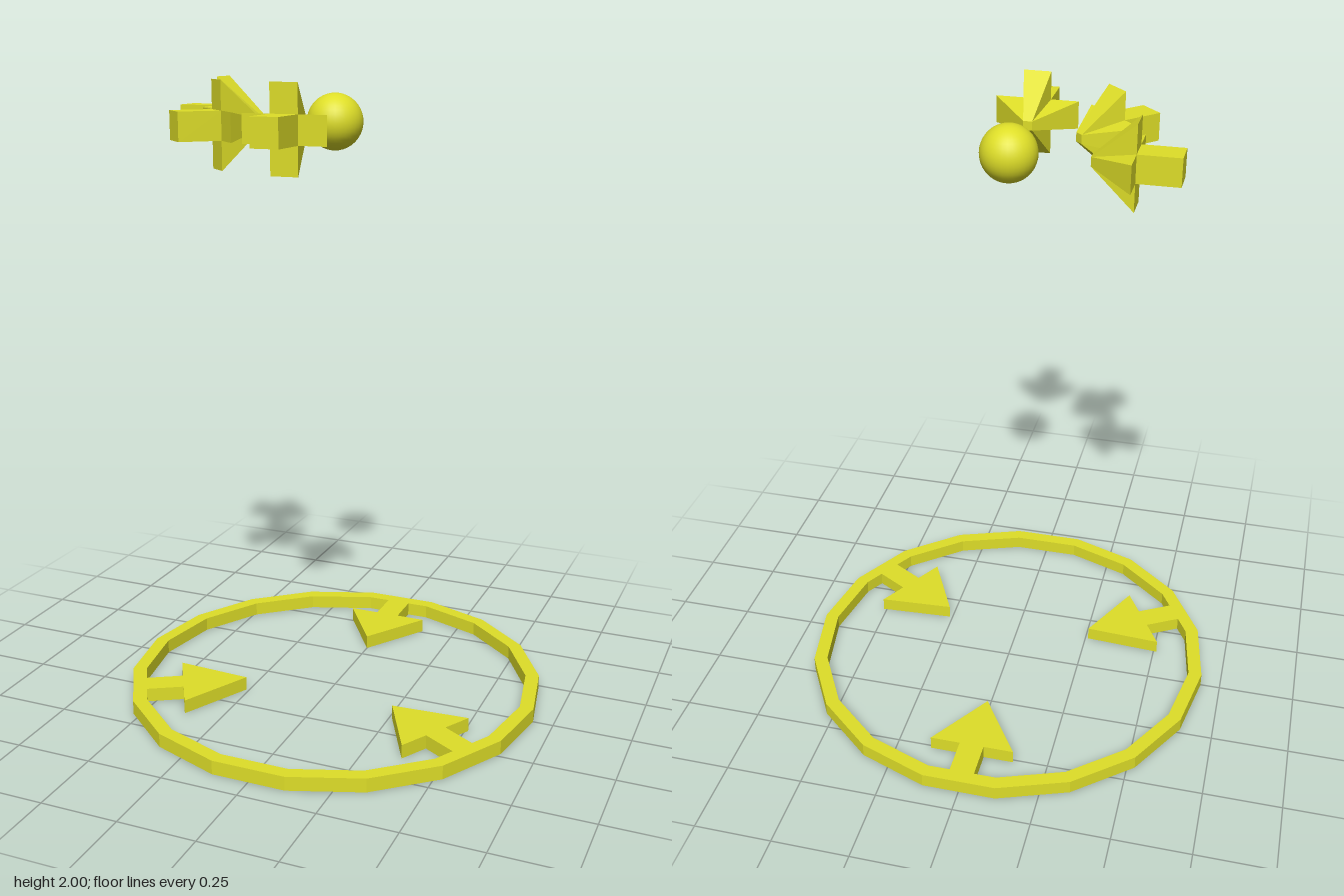
import * as THREE from 'three';

const material = new THREE.MeshStandardMaterial({ color: 0xdede28 });

function part(name, geometry) {
  const mesh = new THREE.Mesh(geometry, material);
  mesh.name = name;
  return mesh;
}

// Extrudes a plan outline upwards from the ground (shape y becomes -z)
function slab(shape, height) {
  return new THREE.ExtrudeGeometry(shape, { depth: height, bevelEnabled: false }).rotateX(-Math.PI / 2);
}

function polygon(radius, sides) {
  return Array.from({ length: sides }, (_, i) => {
    const a = (i / sides) * Math.PI * 2;
    return new THREE.Vector2(Math.cos(a) * radius, Math.sin(a) * radius);
  });
}

// Cross-shaped arrowhead tapering to a small square tip, pointing to -z
function crossHead(w, reach, t, zBase, zTip) {
  const A = [-w, reach, zBase], B = [w, reach, zBase], C = [w, w, zBase], D = [-w, w, zBase];
  const P = [-t, t, zTip], Q = [t, t, zTip], O = [0, 0, zTip];
  const fin = [
    A, B, Q, A, Q, P, // sloping edge
    B, C, Q, D, A, P, // sides
    A, D, C, A, C, B, // back
    P, Q, O,          // quarter of the tip
  ];
  const positions = [];
  for (let k = 0; k < 4; k++) {
    const c = [1, 0, -1, 0][k], s = [0, 1, 0, -1][k];
    for (const [x, y, z] of fin) positions.push(x * c - y * s, x * s + y * c, z);
  }
  const geometry = new THREE.BufferGeometry();
  geometry.setAttribute('position', new THREE.Float32BufferAttribute(positions, 3));
  geometry.computeVertexNormals();
  return geometry;
}

export function createModel() {
  const model = new THREE.Group();
  const height = 0.045;

  // Ground ring with 18 sides
  const ringShape = new THREE.Shape(polygon(0.685, 18));
  ringShape.holes.push(new THREE.Path(polygon(0.64, 18)));
  model.add(part('groundRing', slab(ringShape, height)));

  // Three flat arrows pointing inwards from the ring
  const outline = [[-0.04, 0.632], [-0.04, 0.51], [-0.138, 0.51], [0, 0.3], [0.138, 0.51], [0.04, 0.51], [0.04, 0.632]];
  const arrowGeometry = slab(new THREE.Shape(outline.map(([x, y]) => new THREE.Vector2(x, y))), height);
  for (let i = 0; i < 3; i++) {
    const arrow = part('groundArrow', arrowGeometry);
    arrow.rotation.y = (i * Math.PI * 2) / 3;
    model.add(arrow);
  }

  // Floating ball with three solid arrows aimed at it
  const target = new THREE.Group();
  target.name = 'floatingTarget';
  target.position.y = 1.87;
  target.add(part('ball', new THREE.SphereGeometry(0.086, 32, 20)));

  const shaftGeometry = new THREE.BoxGeometry(0.086, 0.086, 0.13).translate(0, 0, 0.44);
  const headGeometry = crossHead(0.043, 0.13, 0.014, 0.375, 0.242);
  for (let i = 0; i < 3; i++) {
    const arrow = new THREE.Group();
    arrow.name = 'floatingArrow';
    arrow.add(part('arrowShaft', shaftGeometry), part('arrowHead', headGeometry));
    arrow.rotation.y = (-i * Math.PI) / 4;
    target.add(arrow);
  }
  model.add(target);

  return model;
}
